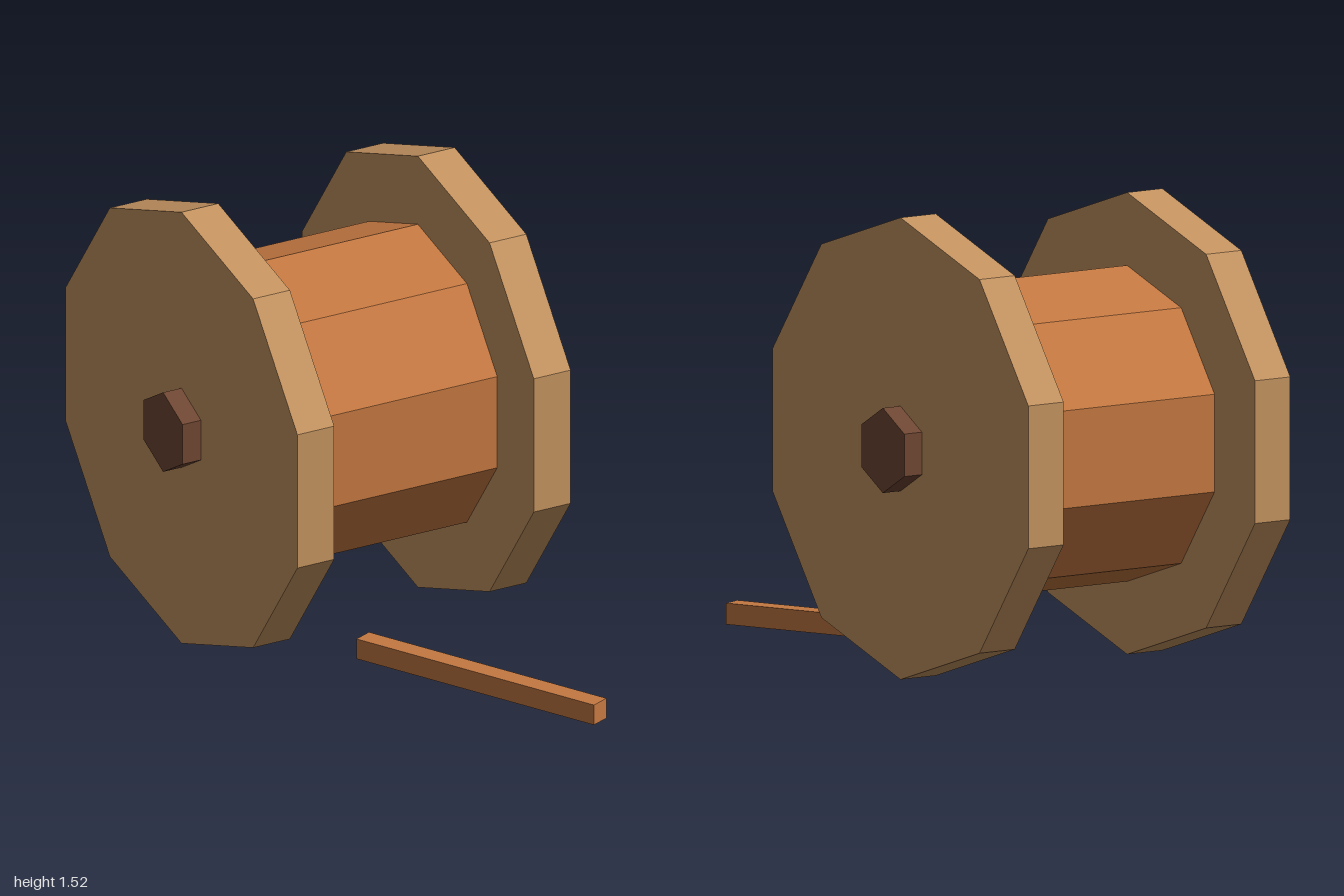
import * as THREE from 'three';

const AXIS_Y = 0.76;
const AXIS_Z = -0.28;

function material(color) {
  return new THREE.MeshStandardMaterial({ color, flatShading: true });
}

// Prism lying along x, with one corner pointing straight up
function prism(name, radius, width, sides, mat, x = 0) {
  const geometry = new THREE.CylinderGeometry(radius, radius, width, sides);
  geometry.rotateY(Math.PI / 2).rotateZ(Math.PI / 2);
  const mesh = new THREE.Mesh(geometry, mat);
  mesh.name = name;
  mesh.position.set(x, AXIS_Y, AXIS_Z);
  return mesh;
}

export function createModel() {
  const model = new THREE.Group();
  model.name = 'spool';

  const paleWood = material(0xc49360);
  const redWood = material(0xc47841);
  const darkWood = material(0x6f4733);

  // Drum between the two flanges
  model.add(prism('drum', 0.52, 0.76, 10, redWood));

  // Flange and hexagonal axle end on each side
  for (const [side, s] of [['left', 1], ['right', -1]]) {
    model.add(prism(side + 'Flange', 0.76, 0.14, 10, paleWood, s * 0.45));
    model.add(prism(side + 'AxleEnd', 0.14, 0.07, 6, darkWood, s * 0.555));
  }

  // Loose end lying on the ground in front
  const strip = new THREE.Mesh(new THREE.BoxGeometry(0.07, 0.07, 0.95), redWood);
  strip.name = 'looseEnd';
  strip.position.set(0.115, 0.035, 0.55);
  strip.rotation.y = 0.4;
  model.add(strip);

  return model;
}
